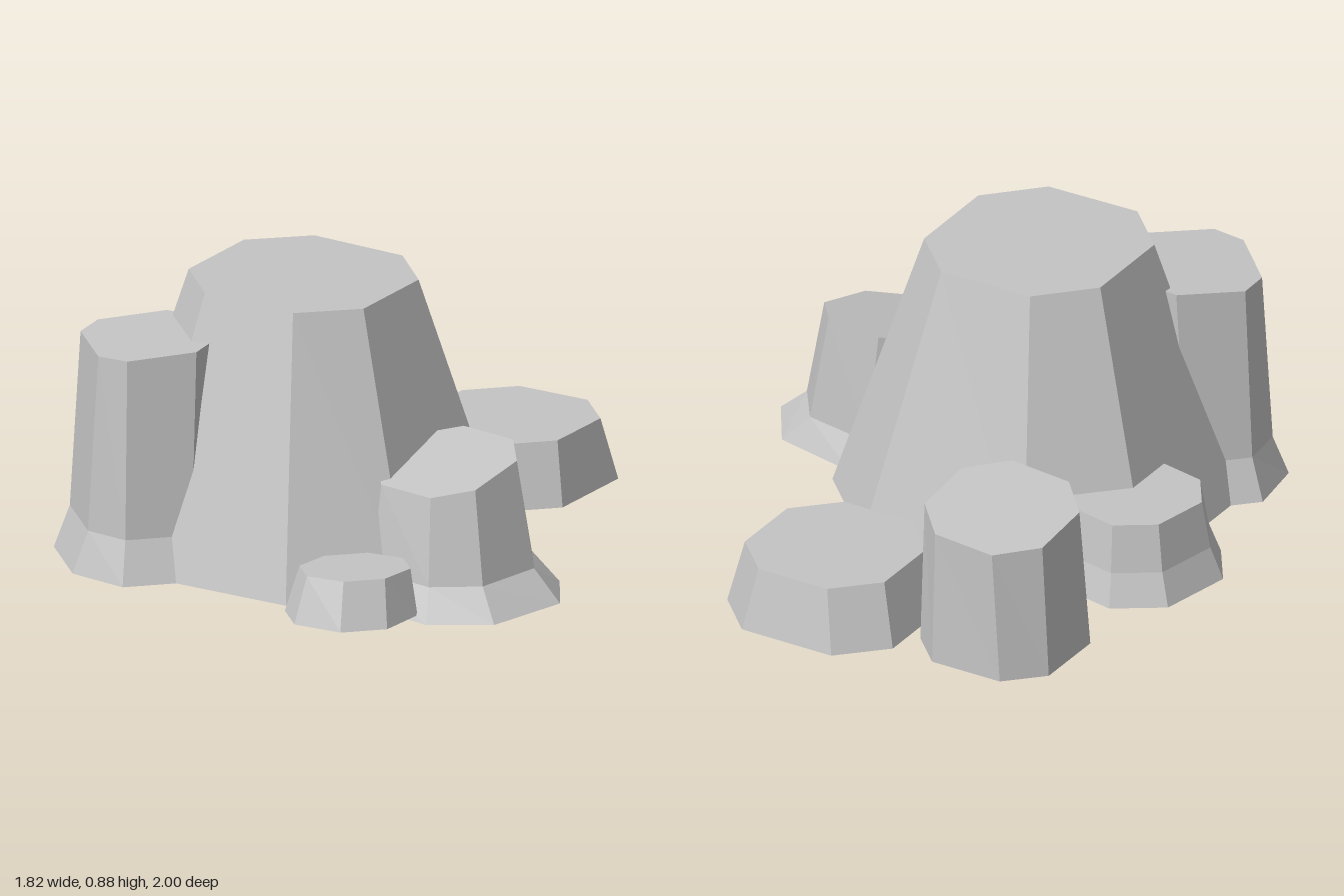
import * as THREE from 'three';

// Eight corners (clockwise from above) of a square with cut corners;
// flat is the share of each side left uncut, turn is a rotation about y
function octagon({ x, z, hx, hz, flat, turn = 0 }) {
  const quarter = [[-flat, -1], [flat, -1], [1, -flat], [1, flat]];
  const corners = [...quarter, ...quarter.map(([u, v]) => [-u, -v])];
  const c = Math.cos(turn), s = Math.sin(turn);
  return corners.map(([u, v]) => [
    x + u * hx * c - v * hz * s,
    z + u * hx * s + v * hz * c,
  ]);
}

// Open-bottomed column: foot outline, optional flare ring, flat tilted top
function makeColumn({ name, foot, top, footY, topY, flareY }, material) {
  const lower = octagon(foot), upper = octagon(top), n = lower.length;
  const rings = [lower.map(([x, z]) => [x, footY, z])];
  if (flareY) {
    rings.push(lower.map(([x, z], i) => [
      x + (upper[i][0] - x) * 0.6, flareY, z + (upper[i][1] - z) * 0.6]));
  }
  rings.push(upper.map(([x, z]) => [x, topY(x, z), z]));

  const pos = [];
  const tri = (a, b, c) => pos.push(...a, ...b, ...c);
  for (let r = 0; r < rings.length - 1; r++) {
    const a = rings[r], b = rings[r + 1];
    for (let i = 0; i < n; i++) {
      const j = (i + 1) % n;
      tri(a[i], b[i], b[j]);
      tri(a[i], b[j], a[j]);
    }
  }
  const cap = rings[rings.length - 1];
  for (let i = 1; i < n - 1; i++) tri(cap[0], cap[i + 1], cap[i]);

  const geometry = new THREE.BufferGeometry();
  geometry.setAttribute('position', new THREE.Float32BufferAttribute(pos, 3));
  geometry.computeVertexNormals();
  const mesh = new THREE.Mesh(geometry, material);
  mesh.name = name;
  return mesh;
}

const columns = [
  { // tall central stump
    name: 'mainRock', footY: 0.03, topY: (x, z) => 0.872 - 0.012 * x - 0.015 * z,
    foot: { x: -0.16, z: 0.137, hx: 0.595, hz: 0.593, flat: 0.32 },
    top: { x: -0.16, z: 0.137, hx: 0.33, hz: 0.333, flat: 0.33 },
  },
  { // tall flared column beside the stump
    name: 'tallSideRock', footY: 0.03, flareY: 0.16, topY: (x) => 0.765 + 0.065 * x,
    foot: { x: -0.695, z: 0.17, hx: 0.215, hz: 0.285, flat: 0.45 },
    top: { x: -0.65, z: 0.165, hx: 0.178, hz: 0.2, flat: 0.6 },
  },
  { // short flared column behind the stump
    name: 'backFlaredRock', footY: 0.03, flareY: 0.13, topY: () => 0.28,
    foot: { x: -0.325, z: -0.415, hx: 0.261, hz: 0.261, flat: 0.34, turn: 0.2 },
    top: { x: -0.32, z: -0.405, hx: 0.205, hz: 0.205, flat: 0.34, turn: 0.2 },
  },
  { // free-standing slanted column at the back
    name: 'backRock', footY: 0.02, topY: (x, z) => 0.59 + 0.136 * z - 0.06 * x,
    foot: { x: 0.16, z: -0.757, hx: 0.245, hz: 0.243, flat: 0.31 },
    top: { x: 0.17, z: -0.755, hx: 0.222, hz: 0.222, flat: 0.35, turn: 0.03 },
  },
  { // low wide slab
    name: 'lowSlab', footY: 0, topY: () => 0.195,
    foot: { x: 0.588, z: -0.372, hx: 0.318, hz: 0.318, flat: 0.3 },
    top: { x: 0.592, z: -0.368, hx: 0.26, hz: 0.258, flat: 0.34 },
  },
  { // slanted flared column at the front
    name: 'frontSlantedRock', footY: 0.01, flareY: 0.1, topY: (x, z) => 0.457 + 0.177 * x - 0.135 * z,
    foot: { x: 0.2, z: 0.67, hx: 0.302, hz: 0.302, flat: 0.34, turn: 0.22 },
    top: { x: 0.176, z: 0.607, hx: 0.205, hz: 0.205, flat: 0.33, turn: 0.14 },
  },
  { // smallest rock at the front
    name: 'frontPebble', footY: 0.025, topY: () => 0.165,
    foot: { x: -0.17, z: 0.825, hx: 0.19, hz: 0.17, flat: 0.38 },
    top: { x: -0.155, z: 0.81, hx: 0.16, hz: 0.125, flat: 0.4 },
  },
];

export function createModel() {
  const stone = new THREE.MeshStandardMaterial({ color: 0xc4c4c4, flatShading: true, side: THREE.DoubleSide });
  stone.name = 'stone grey';
  const group = new THREE.Group();
  group.name = 'rockCluster';
  for (const column of columns) group.add(makeColumn(column, stone));
  return group;
}
